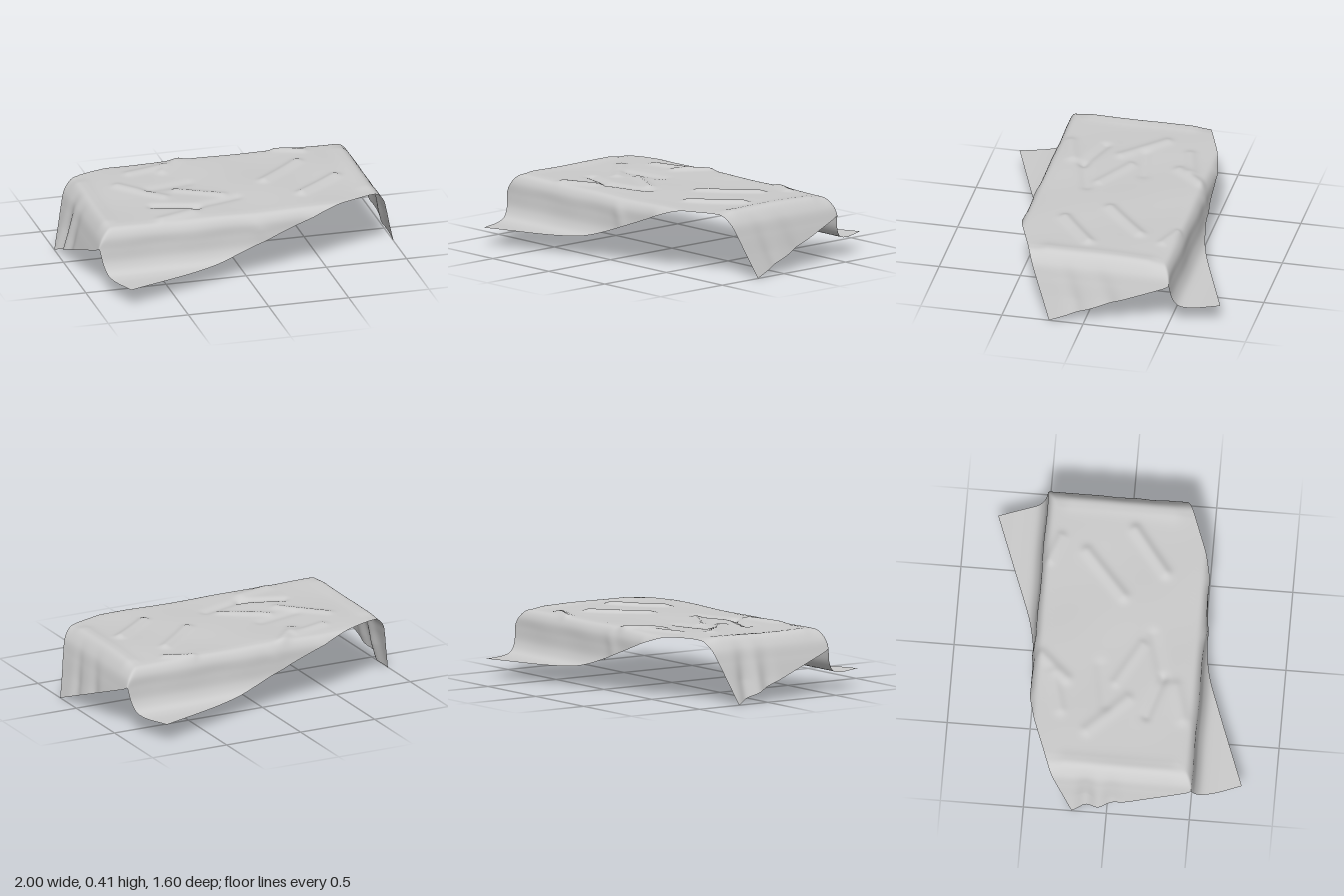
import * as THREE from 'three';

const TOP = 0.395;

// Cross-section of the sheet as it rolls over an edge: [outward, height]
function makeProfile(points) {
  const curve = new THREE.CatmullRomCurve3(points.map(([o, y]) => new THREE.Vector3(o, y, 0)), false, 'centripetal');
  curve.arcLengthDivisions = 400;
  const length = curve.getLength(), start = points[0][0], p = new THREE.Vector3();
  return {
    end: start + length,
    // flat distance from the centre -> draped distance and drop
    at(d) {
      const a = Math.abs(d);
      if (a <= start) return { pos: d, drop: 0, s: 0 };
      curve.getPointAt(Math.min(1, (a - start) / length), p);
      return { pos: Math.sign(d) * p.x, drop: TOP - p.y, s: a - start };
    },
  };
}

// Long sides fall to a ledge and spread out; ends hang free
const side = makeProfile([[0.42, TOP], [0.47, 0.387], [0.5, 0.345], [0.51, 0.27], [0.525, 0.19], [0.56, 0.138], [0.62, 0.12], [0.8, 0.12]]);
const end = makeProfile([[0.79, TOP], [0.85, 0.385], [0.9, 0.335], [0.93, 0.25], [0.96, 0.14], [1, 0.005]]);

// Creases on the top: x0, z0, x1, z1, width, height
const creases = [
  [0.25, 0, 0.52, -0.24, 0.035, 0.016], [0.42, 0.24, 0.68, 0.04, 0.035, 0.018],
  [-0.5, 0.2, -0.25, 0.28, 0.03, -0.014], [-0.25, 0.28, 0.02, 0.2, 0.035, -0.01],
  [-0.3, -0.3, -0.16, -0.46, 0.035, 0.014], [-0.62, -0.15, -0.4, 0.08, 0.035, 0.012],
  [-0.5, -0.32, -0.28, -0.38, 0.035, 0.012], [-0.3, 0.0, -0.05, 0.14, 0.03, 0.011],
  [-0.45, -0.05, -0.2, -0.1, 0.04, -0.008], [0.45, -0.46, 0.6, -0.4, 0.03, 0.012],
  [-0.5, 0.42, -0.3, 0.36, 0.04, 0.012], [0.82, 0.25, 0.84, -0.35, 0.06, 0.012],
  [-0.86, 0.35, -0.84, -0.25, 0.06, 0.012],
];

function wrinkle(x, z) {
  let h = 0.004 * Math.sin(7 * x + 2 * z) * Math.cos(8 * z - 3 * x);
  for (const [x0, z0, x1, z1, w, height] of creases) {
    const dx = x1 - x0, dz = z1 - z0;
    const t = THREE.MathUtils.clamp(((x - x0) * dx + (z - z0) * dz) / (dx * dx + dz * dz), 0, 1);
    const d2 = (x - x0 - t * dx) ** 2 + (z - z0 - t * dz) ** 2;
    h += height * Math.exp(-d2 / (w * w));
  }
  return h;
}

const bump = (t, centre, width) => Math.exp(-(((t - centre) / width) ** 2));

// Lay a point of the flat sheet over the block
function drape(u, v) {
  const ex = end.at(u), ez = side.at(v);
  const drop = Math.cbrt(ex.drop ** 3 + ez.drop ** 3);
  let x = ex.pos, z = ez.pos;
  const y = TOP - drop + wrinkle(u, v) * Math.max(0, 1 - drop / 0.12);

  // Vertical folds in the hanging ends
  const hang = Math.min(1, ex.drop / 0.25);
  if (u < 0) x += hang * 0.028 * (bump(v, -0.13, 0.05) + 0.5 * bump(v, 0.03, 0.05) - 0.3 * bump(v, -0.05, 0.04));
  else x -= hang * 0.012 * (bump(v + ex.s * 0.3, 0.17, 0.05) + bump(v + ex.s * 0.4, -0.02, 0.06));

  // Soft folds down the long sides
  const wall = Math.min(1, ez.drop / 0.1) * Math.max(0, 1 - ez.s / 0.45);
  const lean = u * Math.sign(v) - ez.s * 0.4;
  z += Math.sign(v) * wall * (0.014 * bump(lean, 0.38, 0.05) + 0.012 * bump(lean, 0.03, 0.05) + 0.004 * Math.sin(14 * u));
  return [x, Math.max(0, y), z];
}

export function createModel() {
  const group = new THREE.Group();

  // Rectangular sheet turned slightly against the block beneath it
  const geometry = new THREE.PlaneGeometry(1, 1, 160, 110).rotateX(-Math.PI / 2);
  const frontCorner = [-0.8, side.end], endCorner = [end.end, 0.21];
  const pos = geometry.attributes.position;
  for (let i = 0; i < pos.count; i++) {
    const a = pos.getX(i), b = pos.getZ(i);
    const flat = [0, 1].map(k => a * (endCorner[k] - frontCorner[k]) + b * (endCorner[k] + frontCorner[k]));
    pos.setXYZ(i, ...drape(flat[0], flat[1]));
  }
  geometry.computeVertexNormals();

  const cloth = new THREE.Mesh(geometry, new THREE.MeshStandardMaterial({ color: 0xcccccc, side: THREE.DoubleSide }));
  cloth.name = 'drapedCloth';
  group.add(cloth);
  return group;
}
